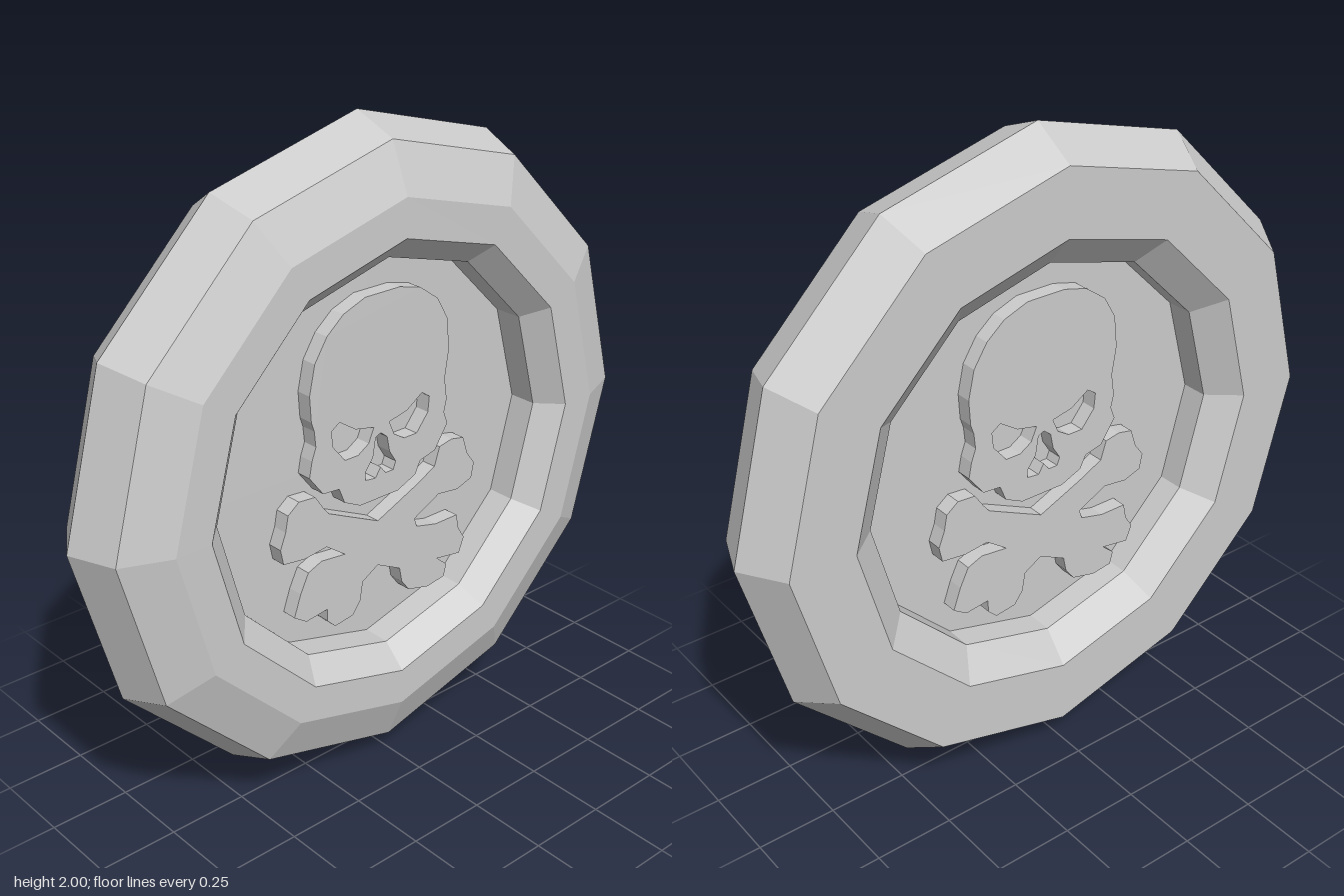
import * as THREE from 'three';

const FLOOR = 0.005;   // recessed floor, distance from the middle plane
const RELIEF = 0.05;   // height of the raised emblem

const toPoints = (list) => list.map(([x, y]) => new THREE.Vector2(x, y));

// Twelve-sided coin body, profile [radius, z] from back centre to front centre
function coinBody() {
  const profile = [
    [0, -FLOOR], [0.615, -FLOOR], [0.615, -0.09], [0.71, -0.17], [0.915, -0.17],
    [1, -0.035], [0.945, 0.108], [0.8, 0.168],
    [0.685, 0.168], [0.615, 0.095], [0.615, FLOOR], [0, FLOOR],
  ];
  const geo = new THREE.LatheGeometry(toPoints(profile), 12);
  geo.rotateX(Math.PI / 2);
  return geo;
}

// Skull outline with eye and nose holes
function skullShape() {
  const skull = new THREE.Shape(toPoints([
    [-0.05, 1.5], [-0.13, 1.47], [-0.19, 1.42], [-0.235, 1.35], [-0.255, 1.26], [-0.25, 1.18],
    [-0.24, 1.15], [-0.235, 1.1], [-0.25, 1.06], [-0.26, 1.01], [-0.21, 0.945], [-0.15, 0.94],
    [-0.13, 0.89], [-0.07, 0.86], [0.08, 0.86], [0.15, 0.89], [0.17, 0.93], [0.23, 0.945],
    [0.28, 1.02], [0.265, 1.06], [0.275, 1.1], [0.265, 1.17], [0.28, 1.26], [0.27, 1.36],
    [0.23, 1.43], [0.16, 1.48], [0.08, 1.5],
  ]));
  const eye = [
    [0.19, 1.13], [0.16, 1.15], [0.1, 1.11], [0.03, 1.095], [0.05, 1.05], [0.09, 1.025],
    [0.14, 1.025], [0.185, 1.08],
  ];
  for (const side of [1, -1]) {
    skull.holes.push(new THREE.Path(toPoints(eye.map(([x, y]) => [0.013 + side * x, y]))));
  }
  skull.holes.push(new THREE.Path(toPoints([
    [0.01, 1.07], [0.035, 1.05], [0.045, 1], [0.07, 0.96], [0.06, 0.935], [0.03, 0.935], [0.01, 0.96],
    [-0.01, 0.93], [-0.05, 0.935], [-0.05, 0.96], [-0.02, 1], [-0.01, 1.06],
  ])));
  return skull;
}

// Crossed bones as a single outline
function bonesShape() {
  return new THREE.Shape(toPoints([
    [-0.37, 0.82], [-0.35, 0.87], [-0.34, 0.92], [-0.3, 0.95], [-0.24, 0.945], [-0.21, 0.9],
    [-0.19, 0.875], [0, 0.785], [0.15, 0.85], [0.23, 0.89], [0.25, 0.95], [0.3, 0.96], [0.35, 0.95],
    [0.37, 0.89], [0.4, 0.85], [0.39, 0.8], [0.33, 0.78], [0.25, 0.79], [0.15, 0.74], [0.16, 0.71],
    [0.24, 0.69], [0.33, 0.69], [0.34, 0.64], [0.365, 0.6], [0.345, 0.55], [0.25, 0.565],
    [0.29, 0.53], [0.28, 0.49], [0.21, 0.48], [0.13, 0.5], [0.1, 0.54], [0.09, 0.59], [0, 0.635],
    [-0.06, 0.6], [-0.07, 0.54], [-0.1, 0.5], [-0.17, 0.49], [-0.2, 0.52], [-0.2, 0.56],
    [-0.28, 0.55], [-0.325, 0.58], [-0.3, 0.65], [-0.27, 0.71], [-0.22, 0.73],
    [-0.13, 0.72], [-0.2, 0.77], [-0.28, 0.76], [-0.36, 0.77],
  ]));
}

export function createModel() {
  const group = new THREE.Group();
  group.name = 'coin';
  const material = new THREE.MeshStandardMaterial({ color: 0xcccccc, flatShading: true });

  const body = new THREE.Mesh(coinBody(), material);
  body.name = 'coinBody';
  body.position.y = 1;
  group.add(body);

  // The same raised emblem on both faces
  const parts = { skull: skullShape(), crossedBones: bonesShape() };
  for (const face of ['front', 'back']) {
    const emblem = new THREE.Group();
    emblem.name = face + 'Emblem';
    for (const [name, shape] of Object.entries(parts)) {
      const geo = new THREE.ExtrudeGeometry(shape, { depth: RELIEF, bevelEnabled: false });
      const mesh = new THREE.Mesh(geo, material);
      mesh.name = name;
      mesh.position.z = FLOOR;
      emblem.add(mesh);
    }
    if (face === 'back') emblem.rotation.y = Math.PI;
    group.add(emblem);
  }
  return group;
}
